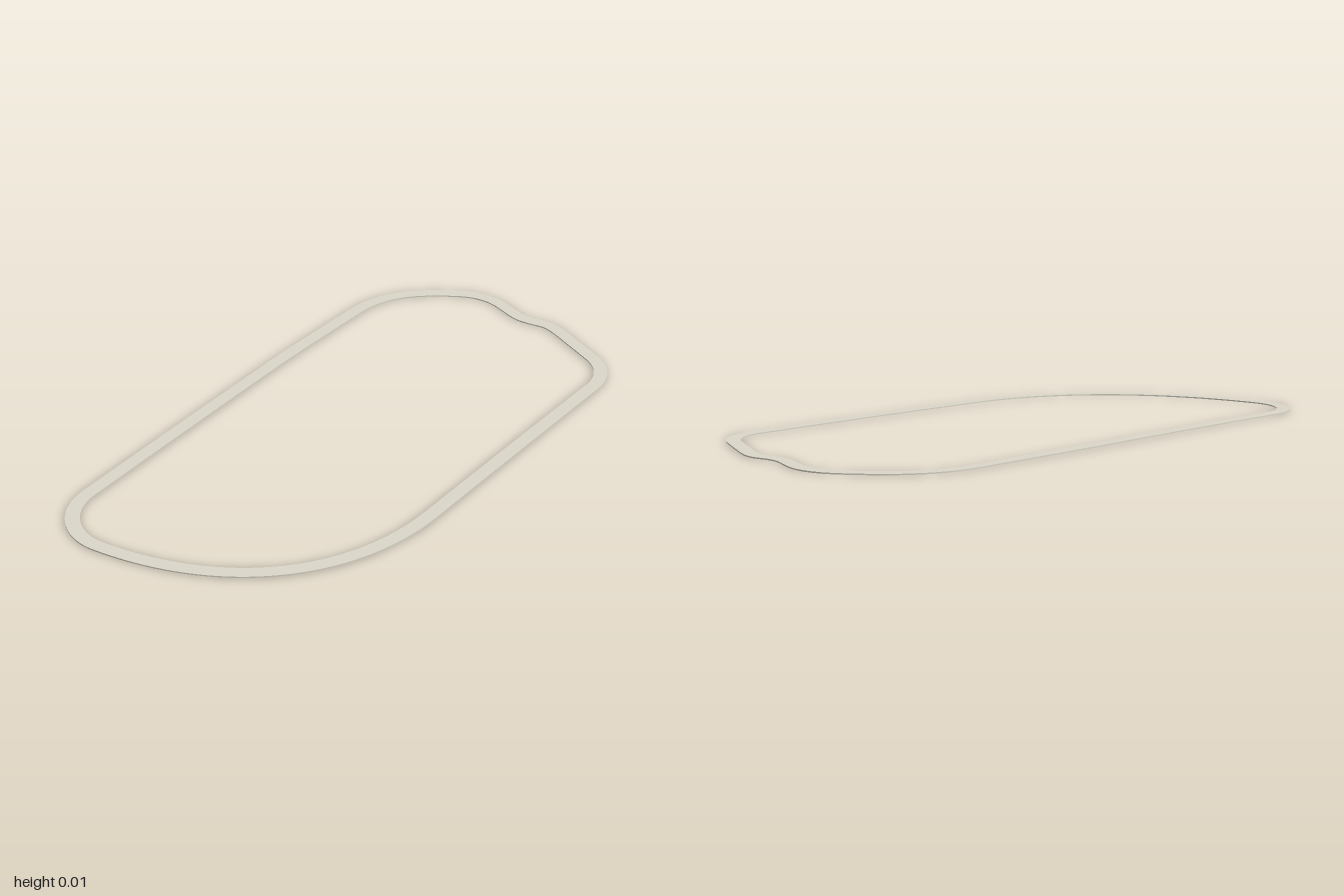
import * as THREE from 'three';

const WIDTH = 0.044;
const THICKNESS = 0.004;
const SEGMENTS = 480;

// Closed centre line of the circuit, drawn in x, z
function centreLine() {
  const path = new THREE.Path();
  path.moveTo(-0.465, -0.64);
  // Long left side with a slight kink
  path.lineTo(-0.465, -0.35);
  path.quadraticCurveTo(-0.465, -0.25, -0.4615, -0.15);
  path.lineTo(-0.428, 0.78);
  // Tight front corner, then the wide sweep to the other side
  path.bezierCurveTo(-0.425, 0.89, -0.33, 0.983, -0.22, 0.977);
  path.bezierCurveTo(0.235, 0.953, 0.464, 0.67, 0.464, 0.3);
  // Long straight
  path.lineTo(0.464, -0.64);
  // Back corner and short straight
  path.bezierCurveTo(0.464, -0.7, 0.433, -0.77, 0.363, -0.808);
  path.lineTo(0.21, -0.891);
  // Small chicane
  path.bezierCurveTo(0.11, -0.945, 0.115, -0.92, 0.045, -0.92);
  path.bezierCurveTo(-0.02, -0.92, -0.075, -0.979, -0.155, -0.979);
  // Rounded back corner
  path.bezierCurveTo(-0.22, -0.979, -0.26, -0.95, -0.315, -0.912);
  path.bezierCurveTo(-0.4, -0.853, -0.465, -0.77, -0.465, -0.64);
  return path;
}

// Very gentle rise of the underside towards the middle of the circuit
const height = (z) => 0.005 * (1 - z * z);

// Thin rectangular strip swept along a closed path
function strip(path, width, thickness, segments) {
  const w = width / 2;
  // Each pair of corners is one side of the cross-section, kept separate for sharp edges
  const corners = [[-w, 0], [w, 0], [w, thickness], [-w, thickness]];
  const positions = [], indices = [];
  for (let i = 0; i <= segments; i++) {
    const u = (i % segments) / segments;
    const p = path.getPoint(u);
    const t = path.getTangent(u);
    for (let k = 0; k < 4; k++) {
      for (const [s, y] of [corners[k], corners[(k + 1) % 4]]) {
        const z = p.y - s * t.x;
        positions.push(p.x + s * t.y, height(z) + y, z);
      }
      if (i < segments) {
        const a = i * 8 + k * 2, b = a + 8;
        indices.push(a, a + 1, b, a + 1, b + 1, b);
      }
    }
  }
  const geometry = new THREE.BufferGeometry();
  geometry.setAttribute('position', new THREE.Float32BufferAttribute(positions, 3));
  geometry.setIndex(indices);
  geometry.computeVertexNormals();
  return geometry;
}

export function createModel() {
  const group = new THREE.Group();
  group.name = 'circuit';

  // Track surface, a thin slab
  const material = new THREE.MeshStandardMaterial({ color: 0xdbd7c9 });
  const track = new THREE.Mesh(strip(centreLine(), WIDTH, THICKNESS, SEGMENTS), material);
  track.name = 'trackSurface';
  group.add(track);

  return group;
}
